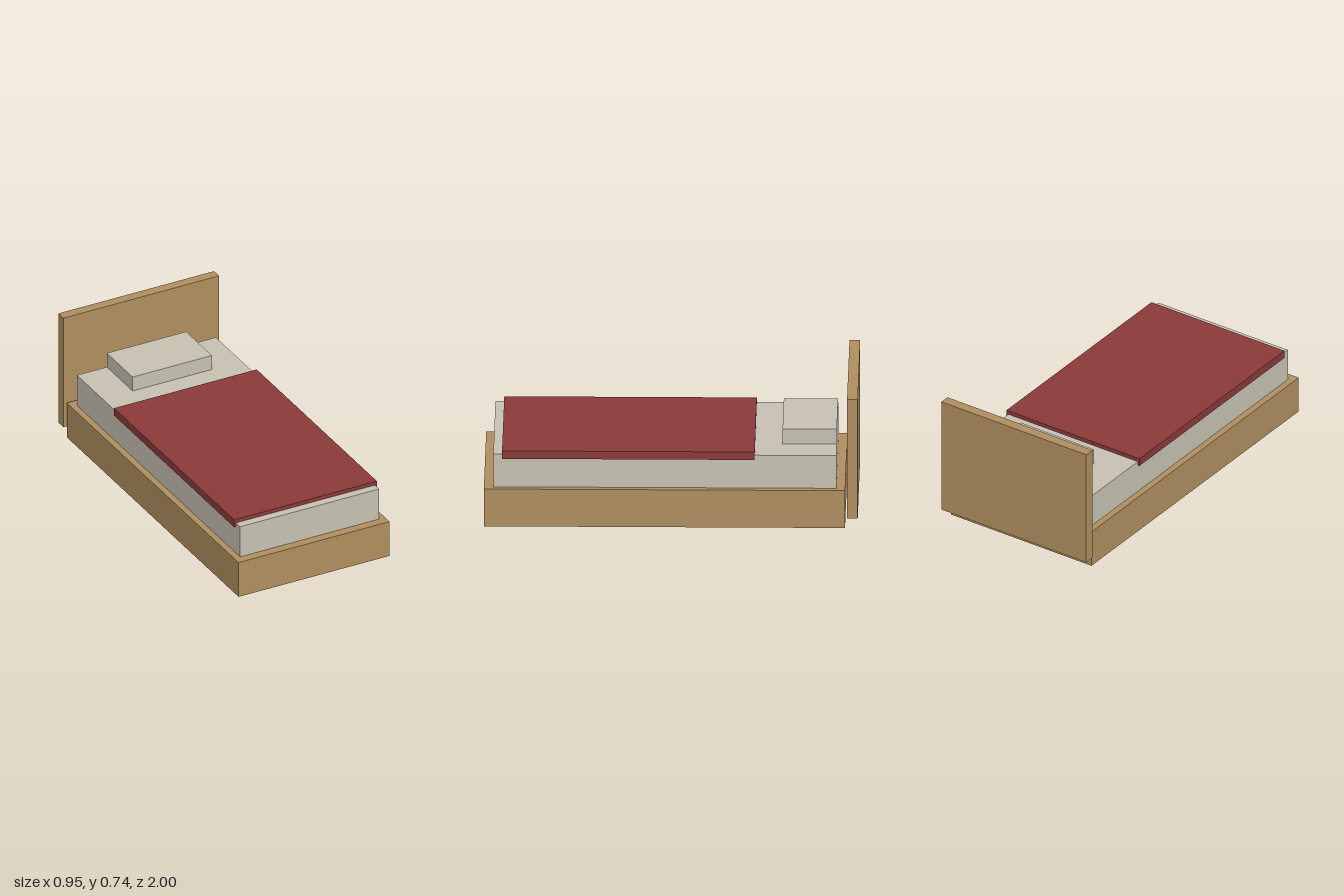
import * as THREE from 'three';

export function createModel() {
  const bed = new THREE.Group();
  bed.name = 'bed';

  const material = (name, color) => {
    const m = new THREE.MeshStandardMaterial({ color });
    m.name = name;
    return m;
  };
  const wood = material('wood', 0xb08f60);
  const linen = material('linen', 0xc8c2b4);
  const red = material('red blanket', 0x8b3a3a);

  // Box centred on x, given its half width and its y and z ranges
  const addBox = (name, mat, halfWidth, [y0, y1], [z0, z1]) => {
    const mesh = new THREE.Mesh(new THREE.BoxGeometry(halfWidth * 2, y1 - y0, z1 - z0), mat);
    mesh.position.set(0, (y0 + y1) / 2, (z0 + z1) / 2);
    mesh.name = name;
    bed.add(mesh);
  };

  // Wooden base and the headboard standing just behind it
  addBox('base', wood, 0.459, [0, 0.212], [-0.932, 1]);
  addBox('headboard', wood, 0.473, [0.06, 0.735], [-1, -0.943]);

  // Bedding
  addBox('mattress', linen, 0.423, [0.2, 0.398], [-0.885, 0.95]);
  addBox('pillow', linen, 0.241, [0.39, 0.484], [-0.885, -0.595]);
  addBox('blanket', red, 0.434, [0.375, 0.42], [-0.448, 0.903]);

  return bed;
}
